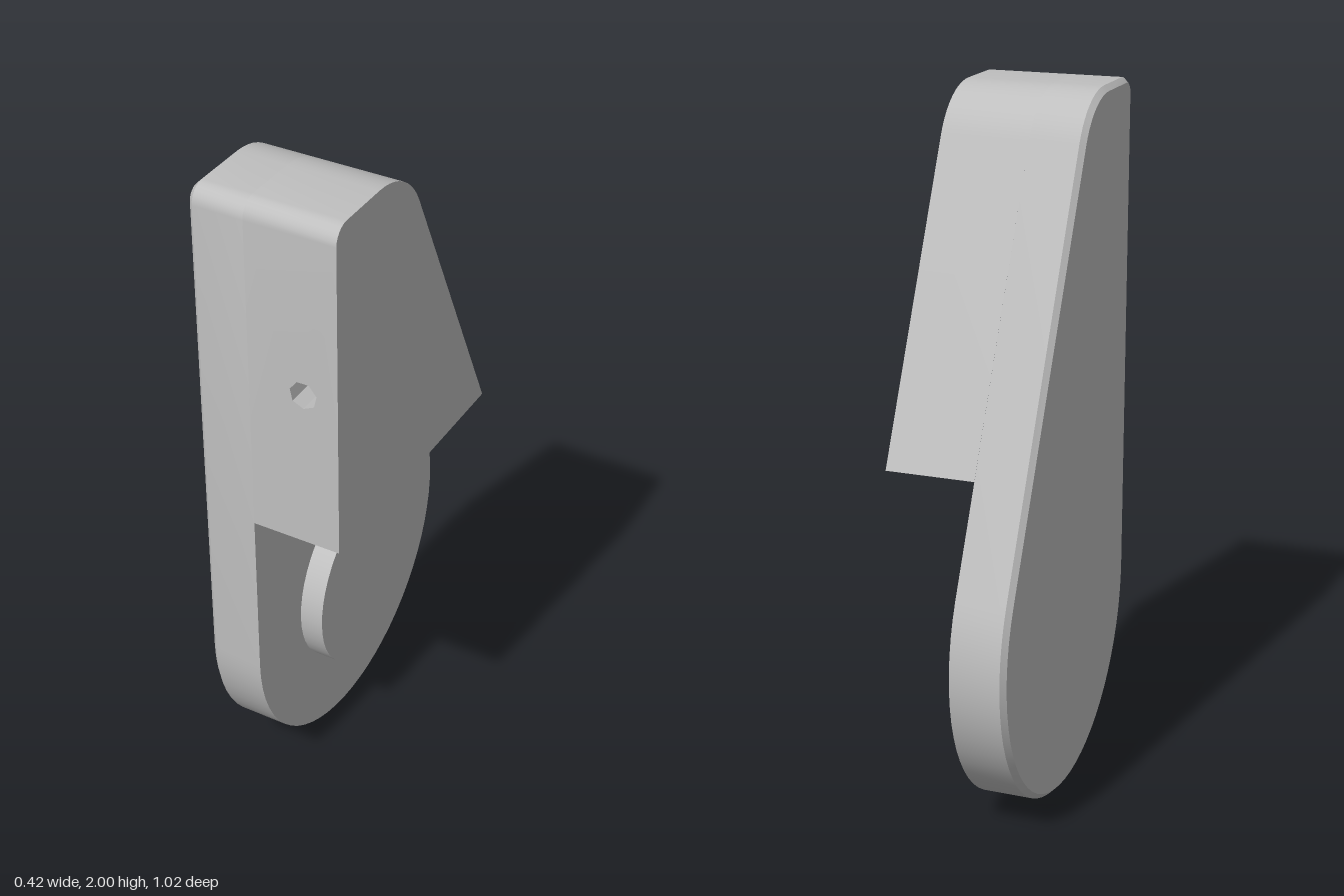
import * as THREE from 'three';
import { mergeGeometries, toCreasedNormals } from 'three/addons/utils/BufferGeometryUtils.js';

// Outlines are lists of (u, y) points with u = -z, counter-clockwise seen from +x.
const SLOPE = 0.45; // angle of the sloping back's normal
const X_BACK = -0.21, X_STEP = -0.05, X_FACE = 0.21, CHAMFER = 0.015;
const Y_STEP = 1.02, U_STEP = 0.32, Z_FRONT = 0.51;

function arc(cu, cy, r, from, to, steps) {
  return Array.from({ length: steps + 1 }, (_, i) => {
    const a = from + (to - from) * i / steps;
    return new THREE.Vector2(cu + r * Math.cos(a), cy + r * Math.sin(a));
  });
}
const bottomArc = (inset) => arc(0, 0.51, 0.51 - inset, Math.PI, 2 * Math.PI + SLOPE, 36);
const topArcs = (inset) => [
  ...arc(-0.3, 1.77, 0.23 - inset, SLOPE, Math.PI / 2, 10),
  ...arc(-0.46, 1.95, 0.05 - inset, Math.PI / 2, Math.PI, 6),
];

// Side wall between two matching outlines at x0 and x1
function wall(p, q, x0, x1, closed) {
  const pos = [];
  const n = closed ? p.length : p.length - 1;
  for (let i = 0; i < n; i++) {
    const j = (i + 1) % p.length;
    const a0 = [x0, p[i].y, -p[i].x], b0 = [x0, p[j].y, -p[j].x];
    const a1 = [x1, q[i].y, -q[i].x], b1 = [x1, q[j].y, -q[j].x];
    pos.push(...a0, ...b0, ...b1, ...a0, ...b1, ...a1);
  }
  const g = new THREE.BufferGeometry();
  g.setAttribute('position', new THREE.Float32BufferAttribute(pos, 3));
  return g;
}

// Flat cap at x, facing +x (dir 1) or -x (dir -1)
function cap(points, x, dir) {
  const shape = new THREE.Shape(points.map((p) => new THREE.Vector2(p.x * dir, p.y)));
  return new THREE.ShapeGeometry(shape).rotateY(dir * Math.PI / 2).translate(x, 0, 0);
}

// Join surfaces, smoothing the curves and keeping edges sharp
function join(parts) {
  const bare = parts.map((part) => {
    const g = part.index ? part.toNonIndexed() : part;
    g.deleteAttribute('uv');
    g.deleteAttribute('normal');
    return g;
  });
  return toCreasedNormals(mergeGeometries(bare), 0.5);
}

export function createModel() {
  const group = new THREE.Group();
  const grey = new THREE.MeshStandardMaterial({ color: 0xbfbfbf });
  grey.name = 'grey';
  const add = (name, geometry) => {
    const mesh = new THREE.Mesh(geometry, grey);
    mesh.name = name;
    group.add(mesh);
    return mesh;
  };

  // Teardrop plate, chamfered around its outer face
  const full = [...bottomArc(0), ...topArcs(0)];
  const inset = [...bottomArc(CHAMFER), ...topArcs(CHAMFER)];
  const stepLine = [new THREE.Vector2(-Z_FRONT, Y_STEP), new THREE.Vector2(U_STEP, Y_STEP)];
  add('plate', join([
    cap(inset, X_BACK, -1),
    wall(inset, full, X_BACK, X_BACK + CHAMFER, true),
    wall(full, full, X_BACK + CHAMFER, X_STEP, true),
    cap([...bottomArc(0), stepLine[1], stepLine[0]], X_STEP, 1),
  ]));

  // Thick upper block, its front face pierced by a small hole
  const upper = [...stepLine, ...topArcs(0)];
  const front = new THREE.Shape([
    new THREE.Vector2(X_STEP, Y_STEP), new THREE.Vector2(X_FACE, Y_STEP),
    new THREE.Vector2(X_FACE, 1.95), new THREE.Vector2(X_STEP, 1.95),
  ]);
  const hole = { x: 0.11, y: 1.49, r: 0.04, depth: 0.2, sides: 7 };
  front.holes.push(new THREE.Path(
    arc(hole.x, hole.y, hole.r, -Math.PI / 2, 1.5 * Math.PI, hole.sides).slice(0, -1)));
  add('upperBlock', join([
    wall(upper, upper, X_STEP, X_FACE, false),
    cap(upper, X_FACE, 1),
    new THREE.ShapeGeometry(front).translate(0, 0, Z_FRONT),
  ]));

  // Hole lining, mirrored so that it faces inwards, and its floor
  add('pinHole', join([
    new THREE.CylinderGeometry(hole.r, hole.r, hole.depth, hole.sides, 1, true)
      .rotateX(Math.PI / 2).scale(-1, 1, 1)
      .translate(hole.x, hole.y, Z_FRONT - hole.depth / 2),
    new THREE.CircleGeometry(hole.r, hole.sides, -Math.PI / 2)
      .translate(hole.x, hole.y, Z_FRONT - hole.depth),
  ]));

  // Raised round boss on the lower plate
  const boss = add('boss', new THREE.CylinderGeometry(0.285, 0.285, 0.07, 48).rotateZ(-Math.PI / 2));
  boss.position.set(X_STEP + 0.035, 0.515, 0);

  return group;
}
